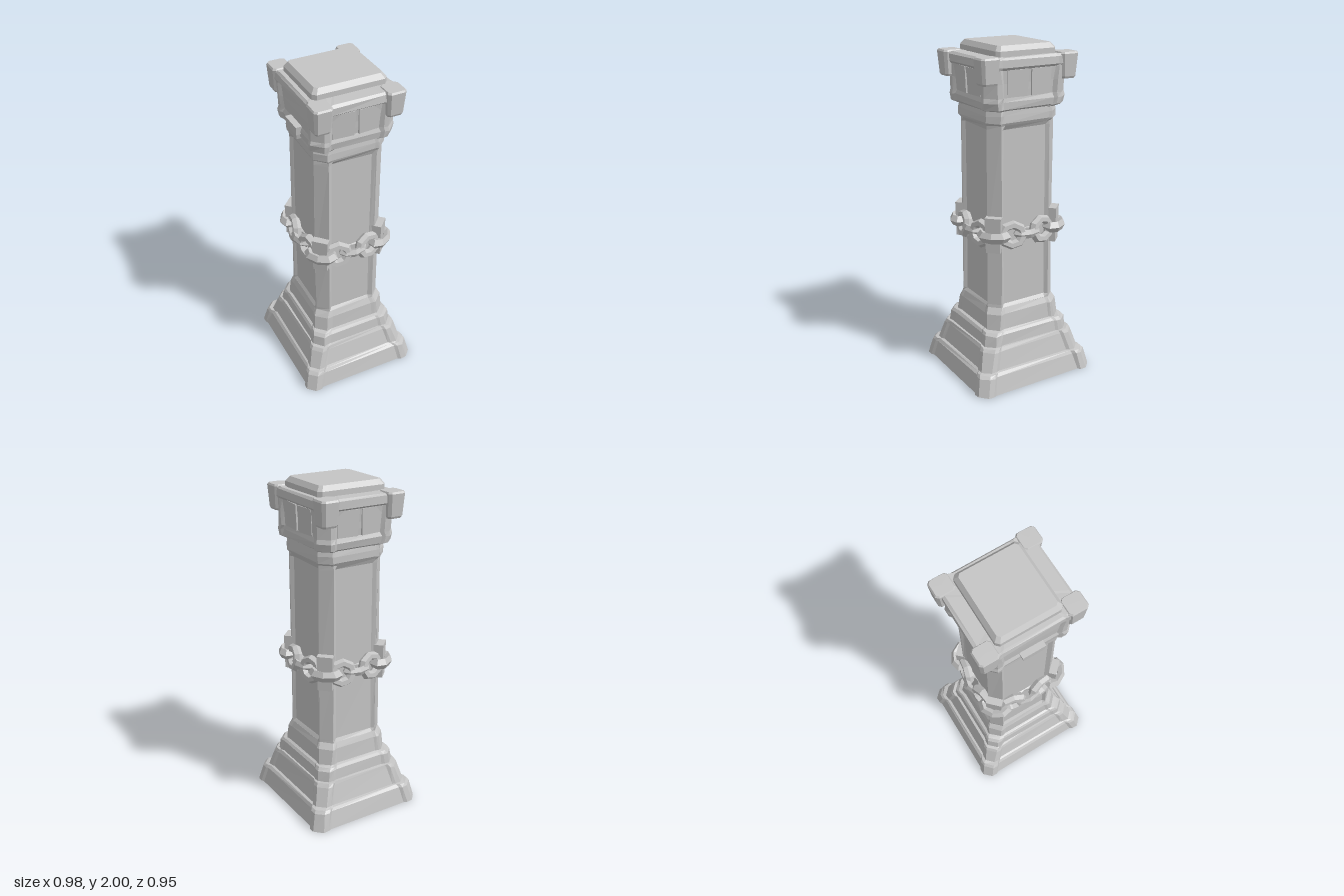
import * as THREE from 'three';

const stone = new THREE.MeshStandardMaterial({ color: 0xc4c4c4, flatShading: true, side: THREE.DoubleSide });
stone.name = 'stone';

let seed = 7;
const rand = () => (seed = (seed * 16807) % 2147483647) / 2147483647 - 0.5;

// Rectangle outline with chamfered corner posts (chamfer c, post width p) and faces sunk by d
function section([y, hx, hz, c, p, d], rough) {
  const quarter = [
    [hx - d, hz - p - 0.02], [hx, hz - p], [hx, hz - c],
    [hx - c, hz], [hx - p, hz], [hx - p - 0.02, hz - d],
  ];
  const pts = [];
  for (const [sx, sz] of [[1, 1], [-1, 1], [-1, -1], [1, -1]]) {
    const q = sx * sz > 0 ? quarter : [...quarter].reverse();
    for (const [x, z] of q) pts.push([sx * x + rand() * rough, y + rand() * rough, sz * z + rand() * rough]);
  }
  return pts;
}

// Skin a stack of sections, optionally closed above and below
function loft(name, rows, { rough = 0.005, top = false, bottom = false } = {}) {
  const rings = rows.map((r) => section(r, rough));
  const pos = [];
  const tri = (...v) => v.forEach((p) => pos.push(...p));
  const n = rings[0].length;
  for (let j = 0; j < rings.length - 1; j++) {
    for (let i = 0; i < n; i++) {
      const k = (i + 1) % n;
      const [a, b, c, d] = [rings[j][i], rings[j][k], rings[j + 1][k], rings[j + 1][i]];
      tri(a, d, b);
      tri(b, d, c);
    }
  }
  const last = rings.length - 1;
  for (let i = 0; i < n; i++) {
    const k = (i + 1) % n;
    if (top) tri([0, rows[last][0], 0], rings[last][k], rings[last][i]);
    if (bottom) tri([0, rows[0][0], 0], rings[0][i], rings[0][k]);
  }
  const g = new THREE.BufferGeometry();
  g.setAttribute('position', new THREE.Float32BufferAttribute(pos, 3));
  g.computeVertexNormals();
  const m = new THREE.Mesh(g, stone);
  m.name = name;
  return m;
}

function add(parent, name, geometry, x, y, z) {
  const m = new THREE.Mesh(geometry, stone);
  m.name = name;
  m.position.set(x, y, z);
  parent.add(m);
  return m;
}

// Box whose lower end is scaled by t
function taperedBox(w, h, d, t) {
  const g = new THREE.BoxGeometry(w, h, d);
  const p = g.attributes.position;
  for (let i = 0; i < p.count; i++) {
    if (p.getY(i) < 0) p.setXYZ(i, p.getX(i) * t, p.getY(i), p.getZ(i) * t);
  }
  return g;
}

export function createModel() {
  const model = new THREE.Group();
  model.name = 'chainedPillar';
  const pillar = new THREE.Group();
  pillar.name = 'pillar';
  pillar.rotation.y = -Math.PI / 8;
  model.add(pillar);

  // Stepped hollow base: two broad tiers
  pillar.add(loft('base', [
    [0.002, 0.395, 0.369, 0.045, 0.08, 0.01],
    [0.105, 0.372, 0.346, 0.045, 0.08, 0.012],
    [0.122, 0.36, 0.334, 0.045, 0.08, 0.012],
    [0.126, 0.342, 0.318, 0.045, 0.08, 0.01],
    [0.235, 0.314, 0.291, 0.05, 0.08, 0.01],
    [0.255, 0.303, 0.28, 0.05, 0.08, 0.008],
    [0.258, 0.27, 0.25, 0.05, 0.08, 0.005],
  ]));

  // Upper steps, closed underneath
  pillar.add(loft('baseSteps', [
    [0.255, 0.288, 0.268, 0.05, 0.08, 0.006],
    [0.32, 0.28, 0.26, 0.05, 0.08, 0.006],
    [0.337, 0.268, 0.249, 0.05, 0.08, 0.005],
    [0.342, 0.25, 0.234, 0.055, 0.075, 0.005],
    [0.435, 0.243, 0.227, 0.06, 0.075, 0.005],
    [0.472, 0.224, 0.209, 0.06, 0.065, 0.001],
  ], { bottom: true }));

  // Shaft with a sunken panel on each face
  pillar.add(loft('shaft', [
    [0.47, 0.225, 0.21, 0.06, 0.065, 0.001],
    [0.49, 0.225, 0.21, 0.06, 0.065, 0.015],
    [0.9, 0.223, 0.208, 0.06, 0.065, 0.015],
    [1.54, 0.222, 0.207, 0.06, 0.065, 0.015],
    [1.565, 0.222, 0.207, 0.06, 0.065, 0.001],
    [1.58, 0.232, 0.216, 0.06, 0.065, 0.003],
    [1.62, 0.232, 0.216, 0.06, 0.065, 0.003],
    [1.66, 0.226, 0.211, 0.06, 0.065, 0.003],
  ]));

  // Flared capital and its slab
  pillar.add(loft('capital', [
    [1.645, 0.225, 0.21, 0.055, 0.08, 0.003],
    [1.66, 0.26, 0.243, 0.055, 0.08, 0.012],
    [1.70, 0.266, 0.248, 0.055, 0.08, 0.012],
    [1.725, 0.262, 0.244, 0.055, 0.085, 0.016],
    [1.80, 0.266, 0.246, 0.055, 0.085, 0.014],
    [1.875, 0.275, 0.25, 0.05, 0.085, 0.012],
    [1.89, 0.287, 0.256, 0.05, 0.085, 0.003],
    [1.93, 0.287, 0.256, 0.05, 0.085, 0.003],
    [1.942, 0.272, 0.244, 0.05, 0.085, 0.003],
  ], { top: true }));

  // Raised cap on top
  pillar.add(loft('topCap', [
    [1.935, 0.193, 0.217, 0.02, 0.03, 0],
    [1.972, 0.193, 0.217, 0.02, 0.03, 0],
    [2.0, 0.172, 0.196, 0.016, 0.03, 0],
  ], { rough: 0, top: true }));

  for (const sx of [-1, 1]) {
    for (const sz of [-1, 1]) {
      // Capital corner blocks, square and narrowing downwards
      const block = loft('capitalCornerBlock', [
        [0, 0.042, 0.042, 0.012, 0.016, 0],
        [0.012, 0.048, 0.048, 0.014, 0.018, 0],
        [0.138, 0.059, 0.056, 0.016, 0.02, 0],
        [0.148, 0.052, 0.05, 0.014, 0.018, 0],
      ], { rough: 0, top: true, bottom: true });
      block.position.set(sx * 0.254, 1.8, sz * 0.21);
      pillar.add(block);

      // Brackets and heavy links at the shaft corners
      const bracket = add(pillar, 'chainBracket', taperedBox(0.095, 0.21, 0.06, 0.88),
        sx * 0.202, 0.935, sz * 0.187);
      bracket.rotation.y = Math.atan2(sx, sz);
      const cornerLink = add(pillar, 'cornerLink', new THREE.TorusGeometry(0.055, 0.028, 5, 8),
        sx * 0.206, 0.93, sz * 0.191);
      cornerLink.rotation.set(Math.PI / 2, 0, -Math.atan2(sx, sz));
      cornerLink.scale.set(1.25, 0.85, 1.2);
    }
  }

  // Chain links and capital panels on the four faces
  for (let i = 0; i < 4; i++) {
    const face = new THREE.Group();
    face.name = 'face' + (i + 1);
    face.rotation.y = (i * Math.PI) / 2;
    pillar.add(face);
    const out = i % 2 ? 0.222 : 0.207;
    for (const s of [-1, 1]) {
      const link = add(face, 'chainLink', new THREE.TorusGeometry(0.06, 0.026, 6, 8), s * 0.1, 0.925, out + 0.014);
      link.scale.set(1.1, 1, 1.1);
      link.rotation.set(-0.12, s * 0.2, s * 0.15);

      // Twin panels on the sides and back
      if (i > 0) {
        const panel = add(face, 'capitalPanel', taperedBox(0.135, 0.15, 0.02, 0.9),
          s * 0.075, 1.8, (i % 2 ? 0.252 : 0.232) - 0.002);
        panel.rotation.set(0.06, s * 0.06, 0);
      }
    }
    const joint = add(face, 'joiningLink', new THREE.TorusGeometry(0.05, 0.025, 5, 8), 0, 0.925, out + 0.012);
    joint.rotation.x = Math.PI / 2;
    joint.scale.set(1.2, 0.75, 1.1);
  }

  // Keystone on the front of the capital
  add(pillar, 'keystone', taperedBox(0.14, 0.05, 0.06, 0.9), 0, 1.708, 0.234);
  add(pillar, 'keystoneFoot', taperedBox(0.11, 0.04, 0.05, 0.8), 0, 1.665, 0.23);

  return model;
}
